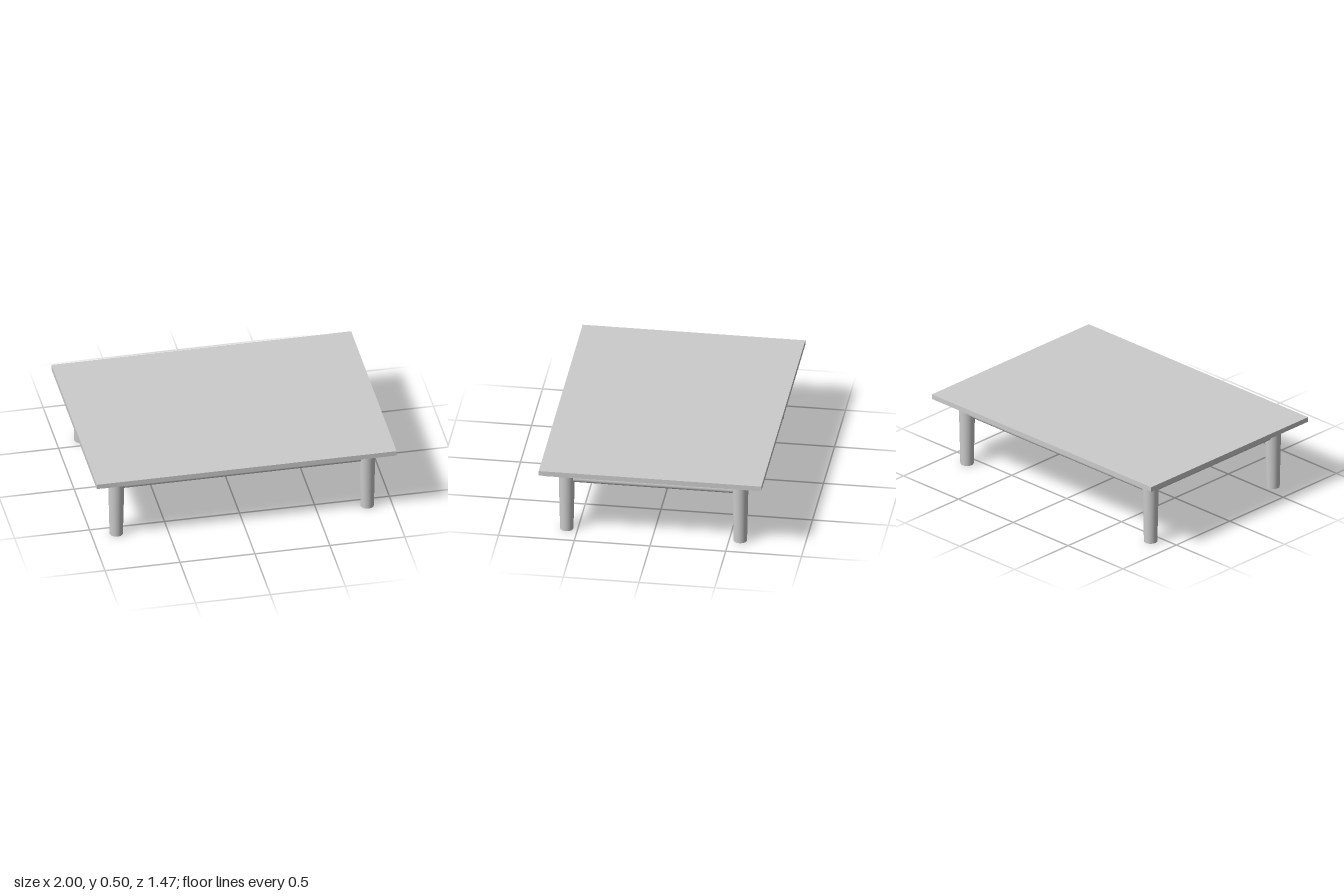
import * as THREE from 'three';

const LEG_X = 0.837, LEG_Z = 0.573, UNDERSIDE = 0.443;

export function createModel() {
  const table = new THREE.Group();
  table.name = 'lowTable';
  const material = new THREE.MeshStandardMaterial({ color: 0xcccccc });

  const add = (name, geometry, x, y, z) => {
    const mesh = new THREE.Mesh(geometry, material);
    mesh.name = name;
    mesh.position.set(x, y, z);
    table.add(mesh);
    return mesh;
  };

  // Table top with a thinner, slightly smaller board beneath it
  add('tableTop', new THREE.BoxGeometry(2, 0.033, 1.47), 0, 0.4835, 0);
  add('underBoard', new THREE.BoxGeometry(1.92, 0.024, 1.4), 0, 0.455, 0);

  // Round legs tapering towards the floor
  const legGeometry = new THREE.CylinderGeometry(0.054, 0.044, UNDERSIDE, 32);
  for (const x of [-1, 1]) {
    for (const z of [-1, 1]) {
      const name = (z > 0 ? 'front' : 'back') + (x > 0 ? 'Left' : 'Right') + 'Leg';
      add(name, legGeometry, x * LEG_X, UNDERSIDE / 2, z * LEG_Z);
    }
  }

  // Round rails joining neighbouring legs
  const longRail = new THREE.CylinderGeometry(0.027, 0.027, 2 * LEG_X, 24).rotateZ(Math.PI / 2);
  const shortRail = new THREE.CylinderGeometry(0.027, 0.027, 2 * LEG_Z, 24).rotateX(Math.PI / 2);
  for (const side of [-1, 1]) {
    add(side > 0 ? 'frontRail' : 'backRail', longRail, 0, 0.378, side * LEG_Z);
    add(side > 0 ? 'leftRail' : 'rightRail', shortRail, side * LEG_X, 0.378, 0);
  }

  return table;
}
